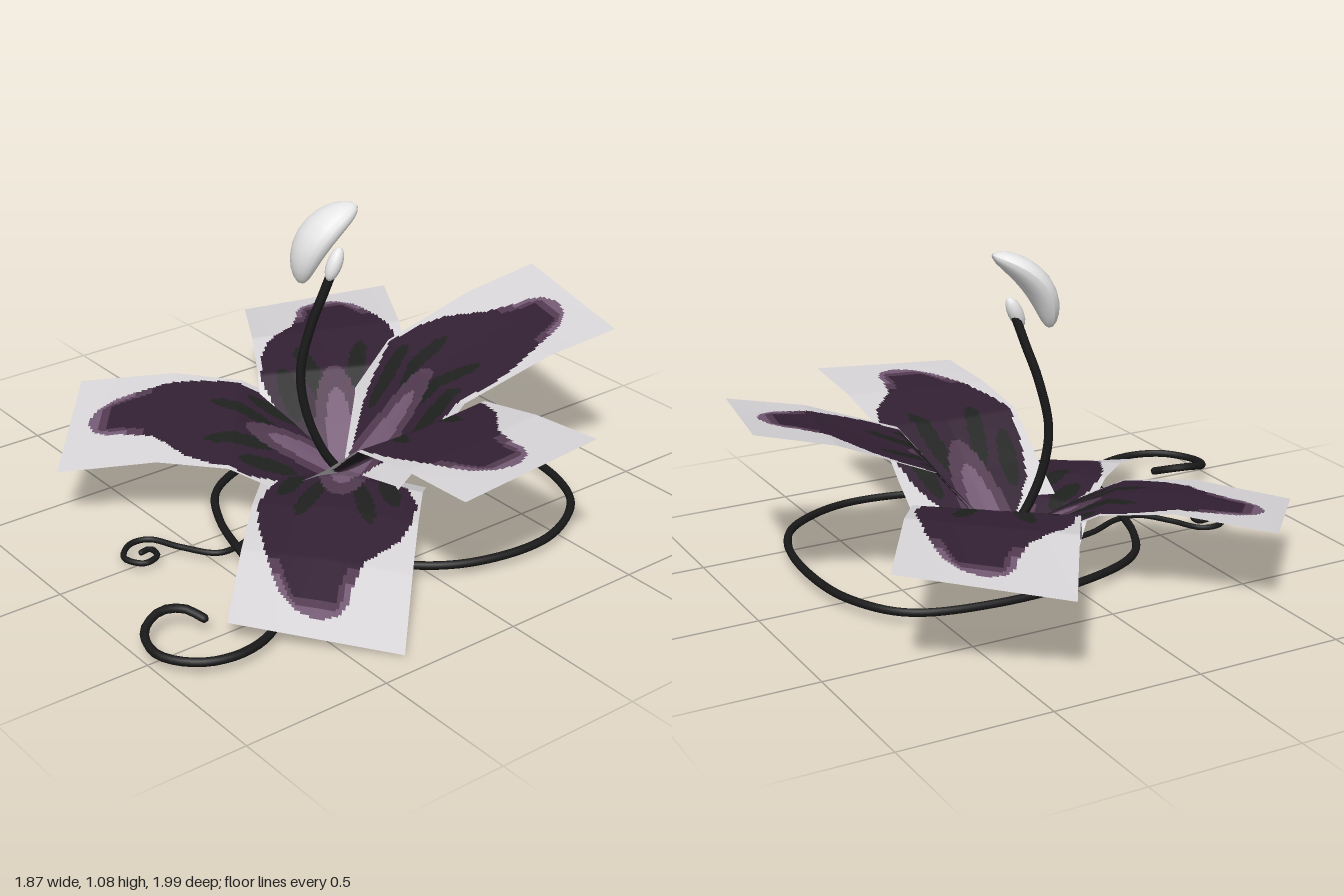
import * as THREE from 'three';

const mat = (name, color, side = THREE.FrontSide) => {
  const m = new THREE.MeshStandardMaterial({ color, side });
  m.name = name;
  return m;
};

// Piecewise linear lookup in rows of [key, a, b, ...]
function lookup(rows, k, col = 1) {
  if (k <= rows[0][0]) return rows[0][col];
  for (let i = 1; i < rows.length; i++) {
    const a = rows[i - 1], b = rows[i];
    if (k <= b[0]) return a[col] + (b[col] - a[col]) * (k - a[0]) / (b[0] - a[0]);
  }
  return rows[rows.length - 1][col];
}

const HALF = 0.267;

// Leaf outline: [length, left half width, right half width]
const OUTLINE = [
  [0, 0.12, 0.12], [0.1, 0.45, 0.45], [0.2, 0.78, 0.75], [0.32, 0.95, 0.88], [0.45, 0.94, 0.93],
  [0.56, 0.8, 0.87], [0.69, 0.43, 0.73], [0.8, 0.33, 0.57], [0.86, 0.31, 0.46], [0.91, 0.2, 0.25], [0.935, 0, 0],
];

// Colour index by place on the card: t along, u across (+ is left)
function paint(t, u) {
  const w = lookup(OUTLINE, t, u > 0 ? 1 : 2), a = Math.abs(u);
  if (a >= w) return 0;
  const edge = w - a;
  if (t > 0.89 || (t > 0.78 && edge < 0.08)) return 2;
  if (t > 0.86 || (t > 0.72 && edge < 0.14)) return 3;
  const oval = (ct, cu, lt, lu, slope) =>
    ((t - ct) / lt) ** 2 + ((a - cu - slope * (t - ct)) / lu) ** 2 < 1;
  if (oval(0.1, 0, 0.18, 0.18, 0)) return 2;
  if (oval(0.1, 0, 0.26, 0.32, 0)) return 3;
  if (oval(0.38, 0.33, 0.12, 0.12, 0.8) || oval(0.27, 0.6, 0.1, 0.13, 0.8)) return 4;
  return 1;
}

// A bent rectangular card with the leaf painted as separate faces
function petal({ name, base, end, profile, twist, fold }, mats) {
  const NU = 56, NV = 100;
  const dx = end[0] - base[0], dz = end[1] - base[1];
  const R = Math.hypot(dx, dz), lx = dz / R, lz = -dx / R;
  const pos = [], faces = mats.map(() => []);
  for (let j = 0; j <= NV; j++) {
    for (let i = 0; i <= NU; i++) {
      const t = j / NV, u = 1 - 2 * i / NU;
      const tilt = twist[0] + (twist[1] - twist[0]) * t;
      const y = lookup(profile, t) + tilt * u + fold * Math.abs(u) * (1 - t);
      pos.push(base[0] + dx * t + lx * HALF * u, y, base[1] + dz * t + lz * HALF * u);
      if (i < NU && j < NV) {
        const a = j * (NU + 1) + i, b = a + 1, c = a + NU + 1, d = c + 1;
        faces[paint((j + 0.5) / NV, 1 - (2 * i + 1) / NU)].push(a, b, d, a, d, c);
      }
    }
  }
  const g = new THREE.BufferGeometry();
  g.setAttribute('position', new THREE.Float32BufferAttribute(pos, 3));
  g.setIndex(faces.flat());
  let start = 0;
  faces.forEach((f, k) => {
    g.addGroup(start, f.length, k);
    start += f.length;
  });
  g.computeVertexNormals();
  const mesh = new THREE.Mesh(g, mats);
  mesh.name = name;
  return mesh;
}

// Round tube through points, with rounded ends
function vine(name, pts, radius, material, segments) {
  const group = new THREE.Group();
  group.name = name;
  const v = pts.map(p => new THREE.Vector3(...p));
  const curve = new THREE.CatmullRomCurve3(v);
  group.add(new THREE.Mesh(new THREE.TubeGeometry(curve, segments, radius, 8), material));
  for (const p of [v[0], v[v.length - 1]]) {
    const cap = new THREE.Mesh(new THREE.SphereGeometry(radius, 8, 6), material);
    cap.position.copy(p);
    group.add(cap);
  }
  return group;
}

// Bud: a sphere stretched along a curve leaning backwards
function budGeometry() {
  const g = new THREE.SphereGeometry(1, 16, 12), p = g.attributes.position;
  const curve = new THREE.QuadraticBezierCurve3(
    new THREE.Vector3(0, 0.82, 0.05), new THREE.Vector3(0.01, 1.0, 0.055), new THREE.Vector3(0.055, 1.07, -0.125));
  for (let i = 0; i < p.count; i++) {
    const s = THREE.MathUtils.clamp((p.getY(i) + 1) / 2, 0, 1);
    const c = curve.getPoint(s), t = curve.getTangent(s);
    const n = new THREE.Vector3(0, -t.z, t.y).normalize();
    const across = p.getX(i) * 0.08 * (0.8 + 0.35 * s), out = p.getZ(i) * 0.046;
    p.setXYZ(i, c.x + across, c.y + n.y * out, c.z + n.z * out);
  }
  g.computeVertexNormals();
  return g;
}

export function createModel() {
  const model = new THREE.Group();
  model.name = 'flower';
  const D = THREE.DoubleSide;
  const petalMats = [
    mat('pale card', 0xd8d5d8, D), mat('dark plum', 0x322033, D), mat('light mauve', 0x745a74, D),
    mat('mid mauve', 0x523a50, D), mat('streak green black', 0x1f211f, D),
  ];
  const vineMat = mat('vine black', 0x181918);
  const budMat = mat('bud white', 0xe6e6e6, D);

  // Petals: base and end midpoints, height along the length, tilt at base and end, fold
  const petals = [
    { name: 'backPetal', base: [0.07, -0.1], end: [0.243, -0.943], twist: [0, 0.022], fold: 0.02,
      profile: [[0, 0.1], [0.17, 0.25], [0.33, 0.42], [0.7, 0.545], [1, 0.605]] },
    { name: 'leftPetal', base: [0.03, -0.12], end: [0.932, -0.115], twist: [0, 0.022], fold: 0.02,
      profile: [[0, 0.09], [0.25, 0.265], [0.43, 0.41], [0.7, 0.455], [1, 0.478]] },
    { name: 'backRightPetal', base: [0.03, -0.11], end: [-0.797, -0.615], twist: [0, -0.038], fold: 0,
      profile: [[0, 0.1], [0.15, 0.2], [0.35, 0.33], [0.6, 0.37], [1, 0.333]] },
    { name: 'frontRightPetal', base: [0.04, -0.11], end: [-0.572, 0.607], twist: [-0.03, -0.04], fold: -0.02,
      profile: [[0, 0.1], [0.2, 0.2], [0.4, 0.285], [0.65, 0.3], [1, 0.25]] },
    { name: 'frontLeftPetal', base: [0.04, -0.12], end: [0.735, 0.555], twist: [0, -0.037], fold: -0.05,
      profile: [[0, 0.1], [0.22, 0.195], [0.45, 0.2], [0.7, 0.15], [1, 0.042]] },
  ];
  for (const p of petals) model.add(petal(p, petalMats));

  // Stem and buds
  model.add(vine('stem', [
    [0.04, 0.125, -0.07], [0.02, 0.19, -0.03], [-0.01, 0.335, 0.02], [-0.025, 0.485, 0.035],
    [-0.01, 0.65, 0.005], [0.015, 0.77, -0.03], [0.035, 0.86, -0.055],
  ], 0.016, vineMat, 40));
  const bud = new THREE.Mesh(budGeometry(), budMat);
  bud.name = 'bud';
  const smallBud = new THREE.Mesh(new THREE.SphereGeometry(1, 14, 10), budMat);
  smallBud.name = 'smallBud';
  smallBud.scale.set(0.026, 0.058, 0.026);
  smallBud.position.set(0.043, 0.875, -0.052);
  smallBud.rotation.x = -0.45;
  model.add(bud, smallBud);

  // Long vine: one turn around the flower, then a raised curl
  const ground = pts => pts.map(([x, z, y = 0.047]) => [x, y, z]);
  model.add(vine('longVine', ground([
    [0.06, -0.2], [0.1, 0], [0.27, 0.13], [0.5, 0.12], [0.67, -0.06], [0.725, -0.385], [0.61, -0.62], [0.46, -0.71],
    [0.2, -0.75], [-0.07, -0.72], [-0.26, -0.6], [-0.33, -0.32], [-0.3, 0.04], [-0.2, 0.26], [-0.02, 0.375],
    [0.31, 0.47], [0.53, 0.54], [0.636, 0.65], [0.67, 0.79], [0.63, 0.91], [0.52, 0.98], [0.41, 0.95, 0.06],
    [0.375, 0.87, 0.08], [0.4, 0.8, 0.075], [0.455, 0.765, 0.055],
  ]), 0.014, vineMat, 160));

  // Thin tendril ending in a small spiral
  model.add(vine('tendril', ground([
    [0.05, -0.23], [0.03, 0], [0.07, 0.26], [0.135, 0.4], [0.135, 0.49], [0.03, 0.565], [-0.075, 0.62], [-0.085, 0.685],
    [-0.02, 0.748], [0.045, 0.715], [0.03, 0.655], [-0.02, 0.65], [-0.018, 0.685],
  ].map(p => [...p, 0.036])), 0.01, vineMat, 100));

  return model;
}
